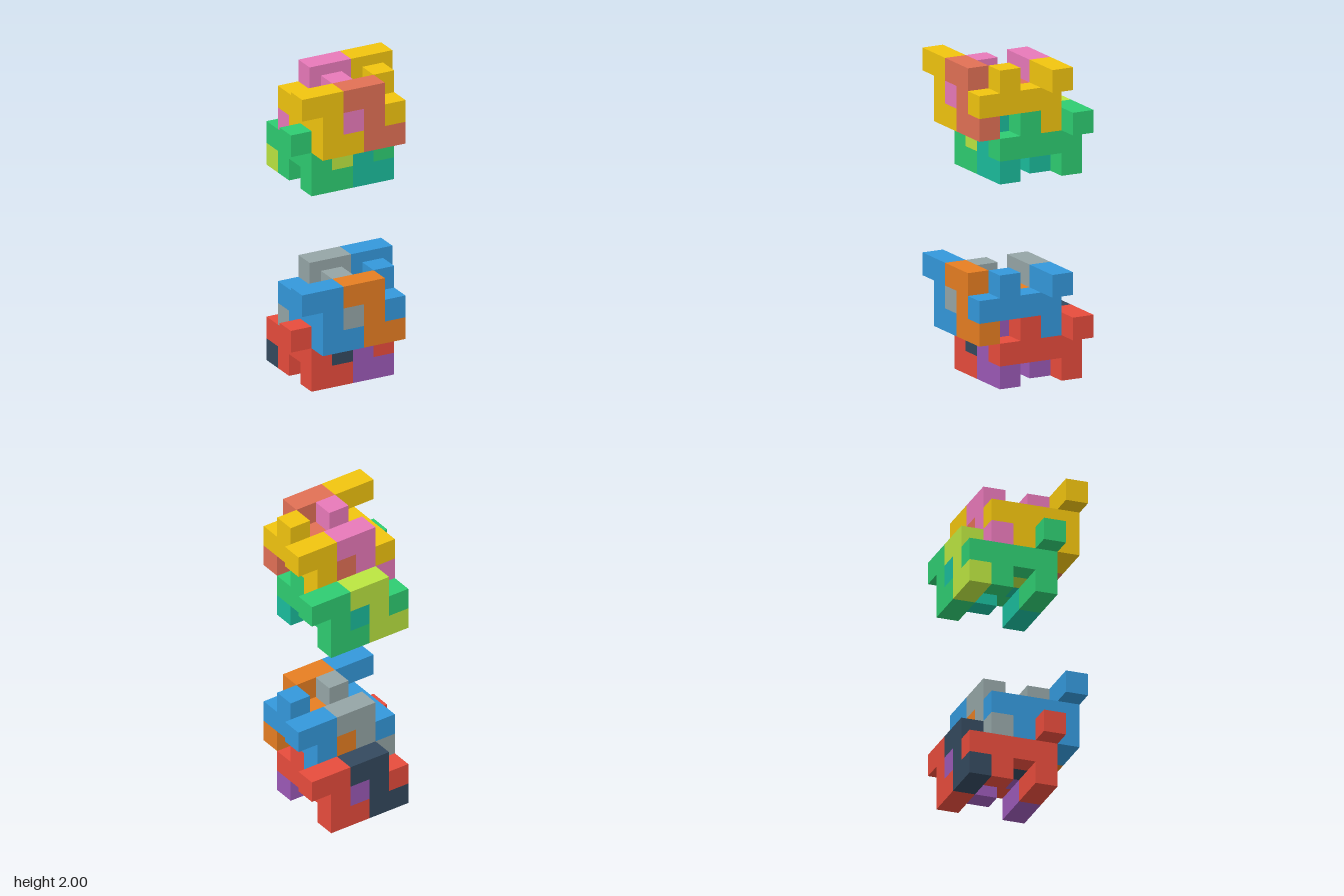
import * as THREE from 'three';

const U = 1 / 7; // edge of one cube cell

// Z-shaped end plate, centred on its column
const Z_OUTLINE = [[-1.5, 1.5], [-1.5, 0.5], [-0.5, 0.5], [-0.5, -1.5], [1.5, -1.5], [1.5, -0.5], [0.5, -0.5], [0.5, 1.5]];

// One puzzle piece: Z plate at +z, a bar running back from it, and a hook on the bar
function makePiece(name, color, hookSide) {
  const piece = new THREE.Group();
  piece.name = name;
  const material = new THREE.MeshStandardMaterial({ color });
  const add = (part, geometry, y, z) => {
    const mesh = new THREE.Mesh(geometry, material);
    mesh.name = part;
    mesh.position.set(0, y * U, z * U);
    piece.add(mesh);
  };
  const shape = new THREE.Shape(Z_OUTLINE.map(([x, y]) => new THREE.Vector2(x * U, y * U)));
  add('endPlate', new THREE.ExtrudeGeometry(shape, { depth: U, bevelEnabled: false }), 0, 1);
  add('bar', new THREE.BoxGeometry(U, U, 3 * U), 0, -0.5);
  add('hook', new THREE.BoxGeometry(U, U, U), hookSide, -0.5);
  return piece;
}

// Layer of four interlocked pieces: alternate columns face forward and backward
function makeLayer(name, [outer, back, front], y, z) {
  const layer = new THREE.Group();
  layer.name = name;
  const columns = [
    ['rightOuterPiece', outer, true],
    ['backInnerPiece', back, false],
    ['frontInnerPiece', front, true],
    ['leftOuterPiece', outer, false],
  ];
  columns.forEach(([pieceName, color, facesFront], i) => {
    const piece = makePiece(pieceName, color, facesFront ? -1 : 1);
    piece.position.x = (i - 1.5) * U;
    if (!facesFront) piece.rotation.y = Math.PI;
    layer.add(piece);
  });
  layer.position.set(0, y * U, z * U);
  return layer;
}

export function createModel() {
  const model = new THREE.Group();
  model.name = 'interlockingBlocks';
  // Colours per layer: outer pair, back inner piece, front inner piece
  const clusters = [
    ['lowerCluster', 0, [0xe74c3c, 0x34495e, 0x9b59b6], [0x3498db, 0x95a5a6, 0xe67e22]],
    ['upperCluster', 9, [0x2ecc71, 0xbbe541, 0x1abc9c], [0xf1c40f, 0xe879b9, 0xe17055]],
  ];
  for (const [name, base, bottomColors, topColors] of clusters) {
    const cluster = new THREE.Group();
    cluster.name = name;
    // The top layer steps one cell forward and nests its hooks into the bottom one
    cluster.add(makeLayer('bottomLayer', bottomColors, 1.5, -0.5));
    cluster.add(makeLayer('topLayer', topColors, 3.5, 0.5));
    cluster.position.y = base * U;
    model.add(cluster);
  }
  return model;
}
